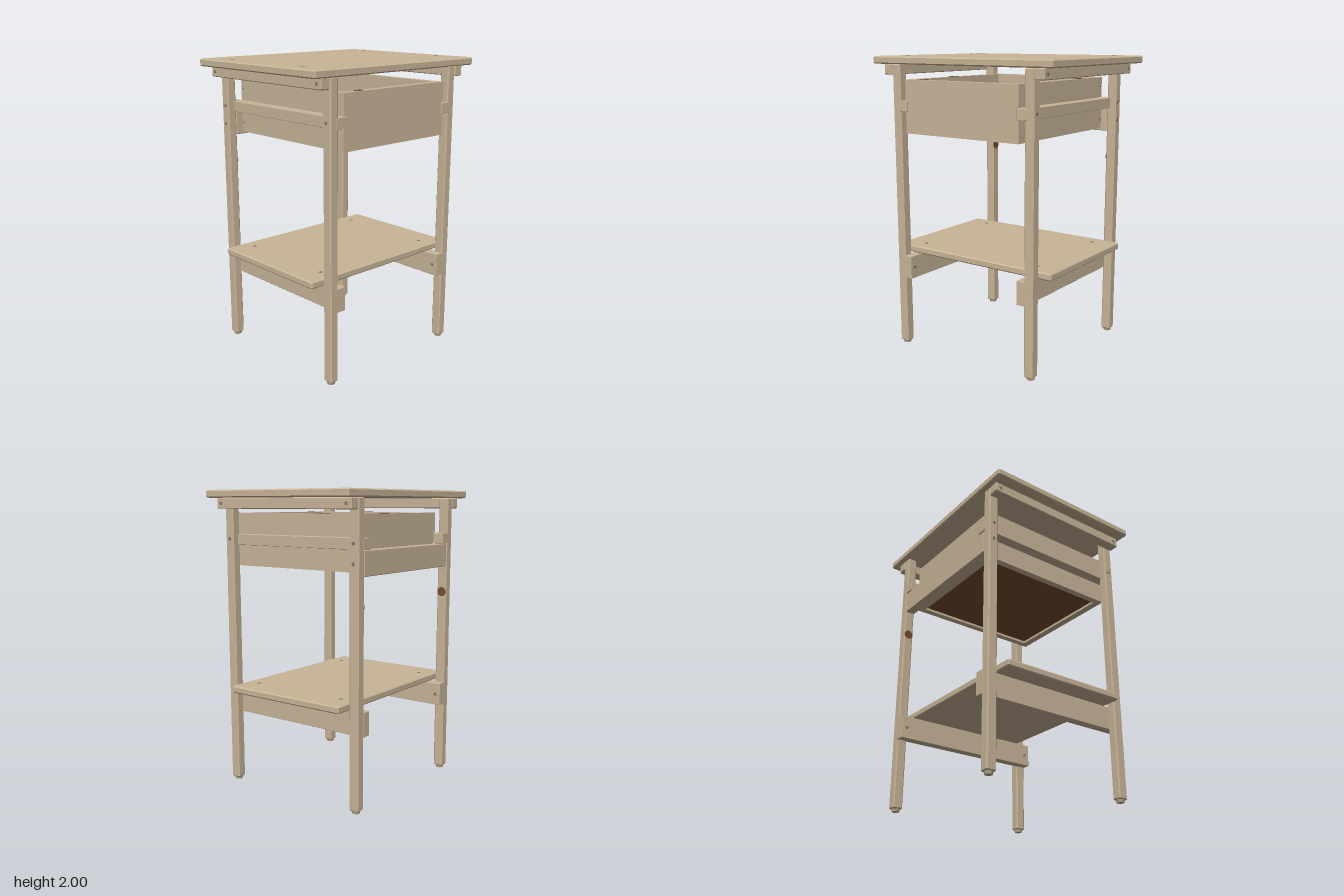
import * as THREE from 'three';

const wood = new THREE.MeshStandardMaterial({ color: 0xc8b598 });
wood.name = 'paleWood';
const brown = new THREE.MeshStandardMaterial({ color: 0x754d2c });
brown.name = 'darkBrown';
const steel = new THREE.MeshStandardMaterial({ color: 0x807868 });
steel.name = 'steel';

// Rectangle outline with cut corners
function cutRect(w, h, c) {
  const a = w / 2, b = h / 2;
  return new THREE.Shape([
    [a - c, -b], [a, -b + c], [a, b - c], [a - c, b],
    [-a + c, b], [-a, b - c], [-a, -b + c], [-a + c, -b],
  ].map(([x, y]) => new THREE.Vector2(x, y)));
}

// Board given by its extents, with chamfered edges
function board(name, [x0, x1], [y0, y1], [z0, z1], c = 0.005, material = wood) {
  const w = x1 - x0, h = y1 - y0, d = z1 - z0;
  let geo;
  if (c > 0) {
    geo = new THREE.ExtrudeGeometry(cutRect(w - 2 * c, d - 2 * c, c * 0.6), {
      depth: h - 2 * c, bevelEnabled: true, bevelSize: c, bevelThickness: c, bevelSegments: 1,
    });
    geo.translate(0, 0, -(h - 2 * c) / 2).rotateX(-Math.PI / 2);
  } else {
    geo = new THREE.BoxGeometry(w, h, d);
  }
  const mesh = new THREE.Mesh(geo, material);
  mesh.name = name;
  mesh.position.set((x0 + x1) / 2, (y0 + y1) / 2, (z0 + z1) / 2);
  return mesh;
}

// Small disc lying against a surface whose normal is +-x or +y
function disc(name, r, axis, x, y, z, material = steel) {
  const mesh = new THREE.Mesh(new THREE.CylinderGeometry(r, r, 0.004, 16), material);
  if (axis === 'x') mesh.rotation.z = Math.PI / 2;
  mesh.position.set(x, y, z);
  mesh.name = name;
  return mesh;
}

// Extent mirrored to the chosen side
const span = (s, a, b) => (s > 0 ? [a, b] : [-b, -a]);

function createDrawer() {
  const drawer = new THREE.Group();
  drawer.name = 'drawer';
  const y0 = 1.497, y1 = 1.85, g0 = 1.636, g1 = 1.714, gx = 0.432;

  // Front panel with notches that clear the runners
  const outline = [[0.45, y0], [0.45, g0], [gx, g0], [gx, g1], [0.45, g1], [0.45, y1]];
  const points = [...outline, ...outline.slice().reverse().map(([x, y]) => [-x, y])];
  const frontGeo = new THREE.ExtrudeGeometry(
    new THREE.Shape(points.map(([x, y]) => new THREE.Vector2(x, y))),
    { depth: 0.05, bevelEnabled: false });
  const front = new THREE.Mesh(frontGeo, wood);
  front.name = 'drawerFront';
  front.position.z = 0.491;
  drawer.add(front);

  // Grooved sides
  for (const s of [-1, 1]) {
    drawer.add(
      board('drawerSideUpper', span(s, 0.405, 0.45), [g1, y1], [-0.472, 0.491], 0),
      board('drawerSideGroove', span(s, 0.405, gx), [g0, g1], [-0.472, 0.491], 0),
      board('drawerSideLower', span(s, 0.405, 0.45), [y0, g0], [-0.472, 0.491], 0),
      board('sideLabel', span(s, 0.412, 0.44), [y1, y1 + 0.003], s > 0 ? [-0.22, -0.14] : [0.04, 0.12], 0, brown),
    );
    for (const y of [1.79, 1.56]) drawer.add(disc('drawerScrew', 0.008, 'x', s * 0.45, y, -0.45));
  }
  // Back and dark bottom
  drawer.add(
    board('drawerBack', [-0.405, 0.405], [y0, y1], [-0.472, -0.43], 0),
    board('drawerBottom', [-0.405, 0.405], [1.515, 1.53], [-0.43, 0.491], 0, brown),
    board('frontLabel', [-0.335, -0.28], [y1, y1 + 0.003], [0.503, 0.53], 0, brown),
    board('backLabel', [0.11, 0.19], [y1, y1 + 0.003], [-0.464, -0.438], 0, brown),
  );
  return drawer;
}

export function createModel() {
  const model = new THREE.Group();
  model.name = 'sideTable';

  // Table top and lower shelf
  model.add(
    board('tableTop', [-0.705, 0.705], [1.948, 1.998], [-0.577, 0.577], 0.008),
    board('lowerShelf', [-0.632, 0.632], [0.65, 0.698], [-0.45, 0.45], 0.008),
    board('backCrossbar', [-0.495, 0.495], [1.48, 1.638], [-0.542, -0.476], 0.004),
  );

  for (const s of [-1, 1]) {
    // Side rails: under the top, drawer runner, shelf support
    model.add(
      board('topRail', span(s, 0.56, 0.632), [1.878, 1.948], [-0.545, 0.545]),
      board('drawerRunner', span(s, 0.436, 0.515), [1.64, 1.71], [-0.546, 0.546], 0.002),
      board('shelfRail', span(s, 0.44, 0.505), [0.49, 0.647], [-0.546, 0.546], 0.002),
    );
    for (const t of [-1, 1]) {
      // Leg with its foot
      model.add(board('leg', span(s, 0.494, 0.56), [0.018, 1.948], span(t, 0.476, 0.545), 0.007));
      const foot = new THREE.Mesh(new THREE.CylinderGeometry(0.03, 0.024, 0.02, 16), wood);
      foot.name = 'foot';
      foot.position.set(s * 0.527, 0.01, t * 0.51);
      model.add(foot);
      // Screws
      model.add(
        disc('topScrew', 0.012, 'y', s * 0.597, 1.998, t * 0.347),
        disc('shelfScrew', 0.012, 'y', s * 0.47, 0.698, t * 0.35),
        disc('topRailScrew', 0.011, 'x', s * 0.632, 1.912, t * 0.508),
        disc('runnerScrew', 0.011, 'x', s * 0.56, 1.68, t * 0.508),
        disc('shelfRailScrew', 0.011, 'x', s * 0.44, 0.567, t * 0.508),
      );
    }
    model.add(
      disc('crossbarScrew', 0.011, 'x', s * 0.56, 1.558, -0.508),
      // Brown round mark inside each back leg
      disc('legMark', 0.032, 'x', s * 0.494, 1.3, -0.511, brown),
    );
  }

  model.add(createDrawer());
  return model;
}
